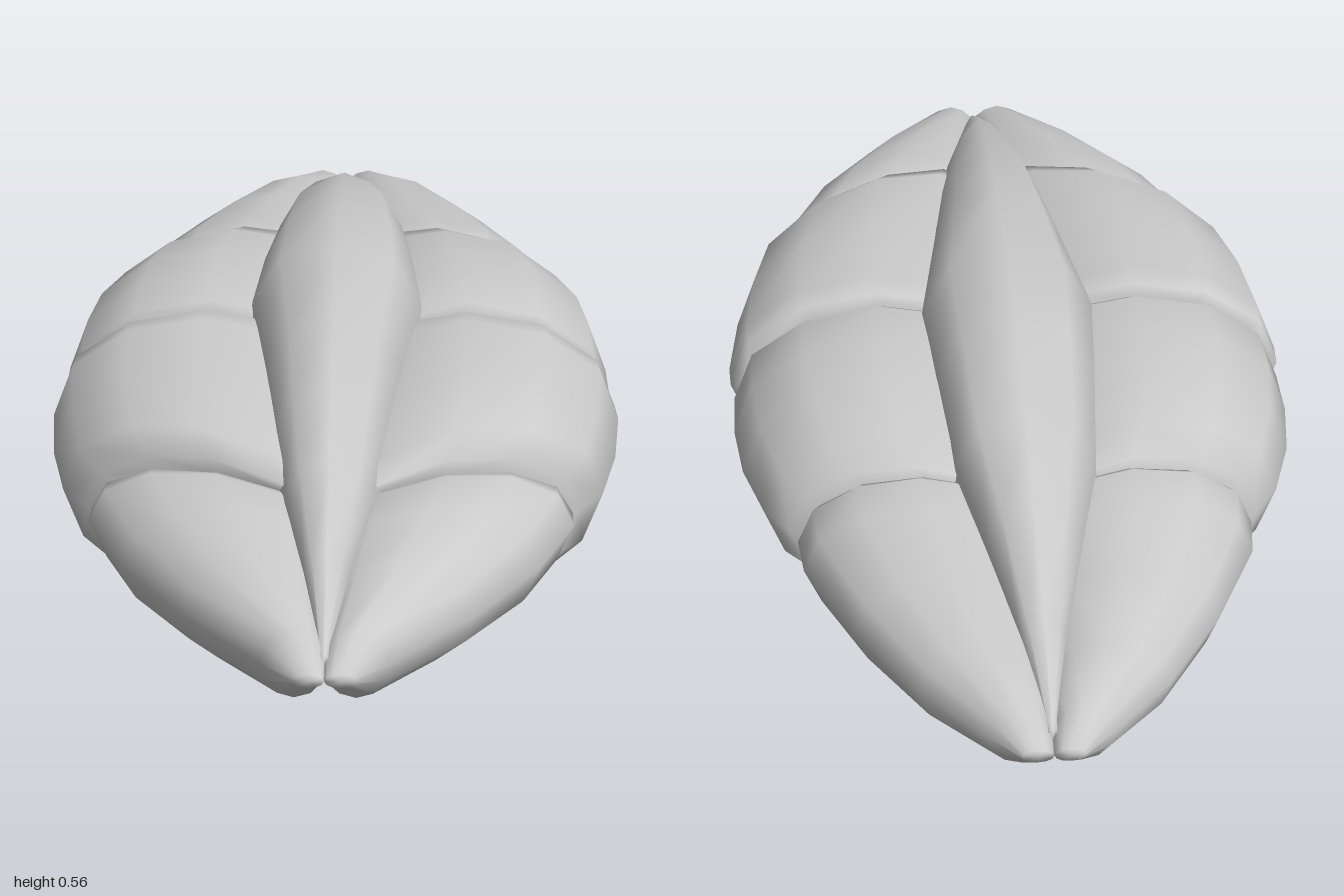
import * as THREE from 'three';

const SIDES = 12;
const material = new THREE.MeshStandardMaterial({ color: 0xcccccc });

// Closed smooth loft through rings of [x, y, z]; rings run from front to back.
function loft(rings, flip) {
  const pos = [], idx = [];
  const tri = (a, b, c) => (flip ? idx.push(a, c, b) : idx.push(a, b, c));
  rings.forEach((ring) => ring.forEach((p) => pos.push(...p)));
  const n = SIDES;
  for (let r = 0; r < rings.length - 1; r++) {
    for (let i = 0; i < n; i++) {
      const j = (i + 1) % n, a = r * n, b = a + n;
      tri(a + i, b + i, a + j);
      tri(a + j, b + i, b + j);
    }
  }
  // centre points close both ends
  [0, rings.length - 1].forEach((r, end) => {
    const c = pos.length / 3;
    pos.push(...[0, 1, 2].map((k) => rings[r].reduce((s, p) => s + p[k], 0) / n));
    for (let i = 0; i < n; i++) {
      const a = r * n + i, b = r * n + ((i + 1) % n);
      if (end) tri(a, c, b);
      else tri(a, b, c);
    }
  });
  const g = new THREE.BufferGeometry();
  g.setAttribute('position', new THREE.Float32BufferAttribute(pos, 3));
  g.setIndex(idx);
  g.computeVertexNormals();
  return g;
}

// Ring of points from a function of the angle
function ring(fn) {
  return Array.from({ length: SIDES }, (_, i) => {
    const a = (i / SIDES) * Math.PI * 2;
    return fn(Math.cos(a), Math.sin(a));
  });
}

// Spine stations: z, half width, half height
const spine = [
  [0.97, 0.008, 0.02], [0.8, 0.04, 0.107], [0.62, 0.08, 0.172], [0.45, 0.105, 0.226],
  [0.26, 0.128, 0.266], [0, 0.168, 0.2825], [-0.2, 0.152, 0.277], [-0.43, 0.13, 0.23],
  [-0.6, 0.088, 0.18], [-0.8, 0.042, 0.102], [-0.97, 0.008, 0.02],
];

// Lobe stations: z at the outer edge, outer x, half height, slant of z toward the middle
const lobes = {
  frontLobe: [
    [1, 0.05, 0.012, 0], [0.95, 0.1, 0.06, 0], [0.8, 0.235, 0.094, 0],
    [0.65, 0.34, 0.115, 0.1], [0.5, 0.405, 0.125, 0.3], [0.455, 0.405, 0.11, 0.35], [0.42, 0.3, 0.07, 0.3],
  ],
  frontMiddleLobe: [
    [0.47, 0.34, 0.1, 0.34], [0.45, 0.415, 0.142, 0.42], [0.385, 0.46, 0.168, 0.4], [0.25, 0.49, 0.185, 0.2],
    [0.1, 0.505, 0.191, 0], [0.05, 0.502, 0.185, 0], [0.034, 0.475, 0.172, 0], [0.03, 0.3, 0.09, 0],
  ],
  rearMiddleLobe: [
    [0.03, 0.3, 0.09, 0], [0.027, 0.47, 0.172, 0], [0.008, 0.495, 0.185, 0], [-0.1, 0.495, 0.191, 0],
    [-0.22, 0.48, 0.186, -0.03], [-0.34, 0.443, 0.168, -0.08], [-0.4, 0.4, 0.145, -0.13], [-0.41, 0.3, 0.09, -0.13],
  ],
  rearLobe: [
    [-0.4, 0.28, 0.08, -0.1], [-0.41, 0.375, 0.125, -0.1], [-0.43, 0.387, 0.135, -0.08], [-0.51, 0.378, 0.127, -0.04],
    [-0.68, 0.3, 0.107, 0], [-0.84, 0.2, 0.086, 0], [-0.95, 0.1, 0.055, 0], [-1, 0.05, 0.012, 0],
  ],
};

function spineGeometry() {
  const swell = (v) => Math.sign(v) * Math.pow(Math.abs(v), 0.72);
  return loft(spine.map(([z, w, h]) => ring((c, s) => [w * swell(c), 0.2825 + h * swell(s), z])), false);
}

function lobeGeometry(stations, side) {
  const rings = stations.map(([z, w, h, slant]) => {
    const inner = -0.08 * w + 0.004;
    const mid = (w + inner) / 2, half = (w - inner) / 2;
    return ring((c, s) => {
      const x = mid + half * c;
      return [side * x, 0.275 + h * s, z + slant * (w - x)];
    });
  });
  return loft(rings, side < 0);
}

export function createModel() {
  const group = new THREE.Group();
  group.name = 'segmentedPod';
  const add = (name, geometry) => {
    const mesh = new THREE.Mesh(geometry, material);
    mesh.name = name;
    group.add(mesh);
  };

  // Tall central spine
  add('spine', spineGeometry());

  // Four overlapping lobes along each side
  for (const [name, stations] of Object.entries(lobes)) {
    add(name + 'Left', lobeGeometry(stations, 1));
    add(name + 'Right', lobeGeometry(stations, -1));
  }
  return group;
}
